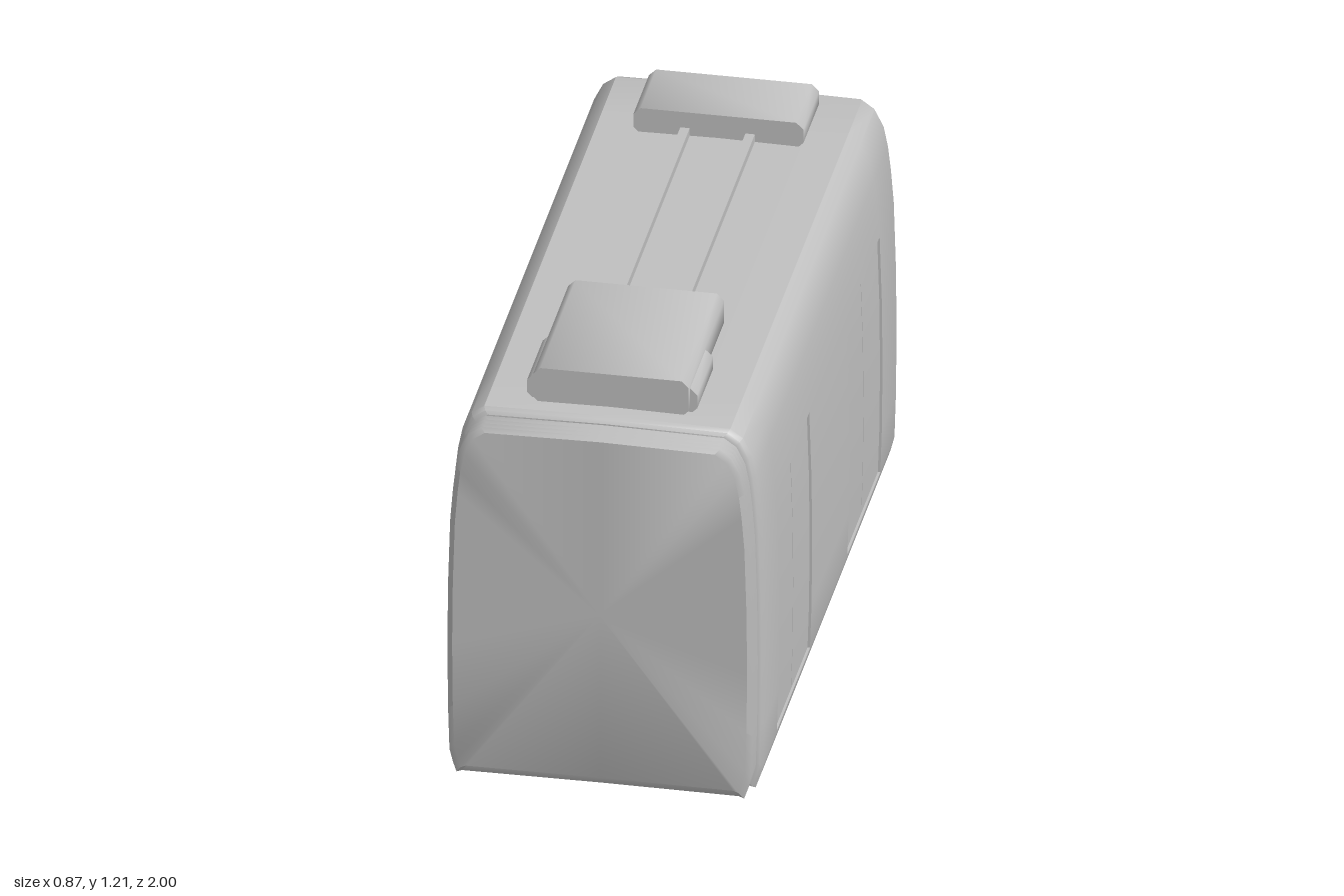
import * as THREE from 'three';
import { toCreasedNormals } from 'three/addons/utils/BufferGeometryUtils.js';

const grey = new THREE.MeshStandardMaterial({ color: 0xc0c0c0 });
grey.name = 'light grey';

// Right half of the carriage section, bottom centre to roof centre.
// The third value marks points that sink in where there is a door.
const HALF = [
  [0, 0.008], [0.395, 0.006], [0.41, 0], [0.42, 0.03], [0.43, 0.07], [0.43, 0.07, 1],
  [0.434, 0.2, 1], [0.436, 0.4, 1], [0.434, 0.6, 1], [0.428, 0.8, 1], [0.428, 0.8],
  [0.42, 0.9], [0.412, 0.97], [0.4, 1.03], [0.375, 1.08], [0.34, 1.105], [0, 1.11],
];
const SECTION = [...HALF, ...HALF.slice(1, -1).reverse().map(([x, y, d]) => [-x, y, d])];

// Skin the section through stations of [z, inset, door depth] and cap both ends
function loft(stations) {
  const n = SECTION.length, pos = [], idx = [];
  for (const [z, inset, depth = 0] of stations) {
    for (const [x, y, door] of SECTION) {
      const sink = door ? depth * Math.sign(x) : 0;
      pos.push(x * (1 - inset / 0.43) - sink, y * (1 - 2.2 * inset / 1.11) + 1.4 * inset, z);
    }
  }
  for (let i = 0; i < stations.length - 1; i++) {
    for (let j = 0; j < n; j++) {
      const a = i * n + j, b = i * n + (j + 1) % n;
      idx.push(a, b, b + n, a, b + n, a + n);
    }
  }
  const last = (stations.length - 1) * n, c = pos.length / 3;
  pos.push(0, 0.55, stations[0][0], 0, 0.55, stations.at(-1)[0]);
  for (let j = 0; j < n; j++) {
    const k = (j + 1) % n;
    idx.push(c, k, j, c + 1, last + j, last + k);
  }
  const g = new THREE.BufferGeometry();
  g.setAttribute('position', new THREE.Float32BufferAttribute(pos, 3));
  g.setIndex(idx);
  return toCreasedNormals(g, 0.6);
}

// Roof box with chamfered long edges
function roofBox(x0, x1, y1, z0, z1, c = 0.02) {
  const y0 = 1.1, s = new THREE.Shape();
  [[x0 + c, y0], [x1 - c, y0], [x1, y0 + c], [x1, y1 - c], [x1 - c, y1],
    [x0 + c, y1], [x0, y1 - c], [x0, y0 + c]]
    .forEach(([x, y], i) => (i ? s.lineTo(x, y) : s.moveTo(x, y)));
  s.closePath();
  const g = new THREE.ExtrudeGeometry(s, { depth: z1 - z0, bevelEnabled: false });
  g.translate(0, 0, z0);
  return toCreasedNormals(g, 0.9);
}

export function createModel() {
  const model = new THREE.Group();
  model.name = 'railCarriage';
  const add = (name, geometry) => {
    const mesh = new THREE.Mesh(geometry, grey);
    mesh.name = name;
    model.add(mesh);
    return mesh;
  };

  // Body with two recessed double doors on each side
  const body = [[-1, 0.018], [-0.995, 0.007], [-0.98, 0]];
  for (const z of [-0.545, 0.455]) {
    const d = 0.007, g = 0.012, h = 0.235, s = 0.002;
    body.push([z - h, 0, 0], [z - h, 0, d], [z - s, 0, d], [z - s, 0, g],
      [z + s, 0, g], [z + s, 0, d], [z + h, 0, d], [z + h, 0, 0]);
  }
  body.push([0.89, 0], [0.905, 0.007], [0.912, 0.018]);
  add('carriageBody', loft(body));

  // Folded gangway at the front
  const folds = [[0.9, 0.028]];
  for (let i = 0; i < 9; i++) folds.push([0.915 + i * 0.085 / 8, i % 2 ? 0.013 : 0.028]);
  add('gangwayBellows', loft(folds));

  // Roof equipment
  add('frontRoofUnit', roofBox(-0.215, 0.215, 1.21, 0.34, 0.84));
  add('rearRoofUnit', roofBox(-0.235, 0.235, 1.18, -0.91, -0.69));
  add('roofUnitSidePods', roofBox(-0.235, 0.235, 1.18, 0.6, 0.82));

  // Twin conduits between the roof units
  for (const x of [-0.0925, 0.0875]) {
    const pipe = add('roofConduit', new THREE.BoxGeometry(0.026, 0.03, 1.07));
    pipe.position.set(x, 1.117, -0.175);
  }
  return model;
}
